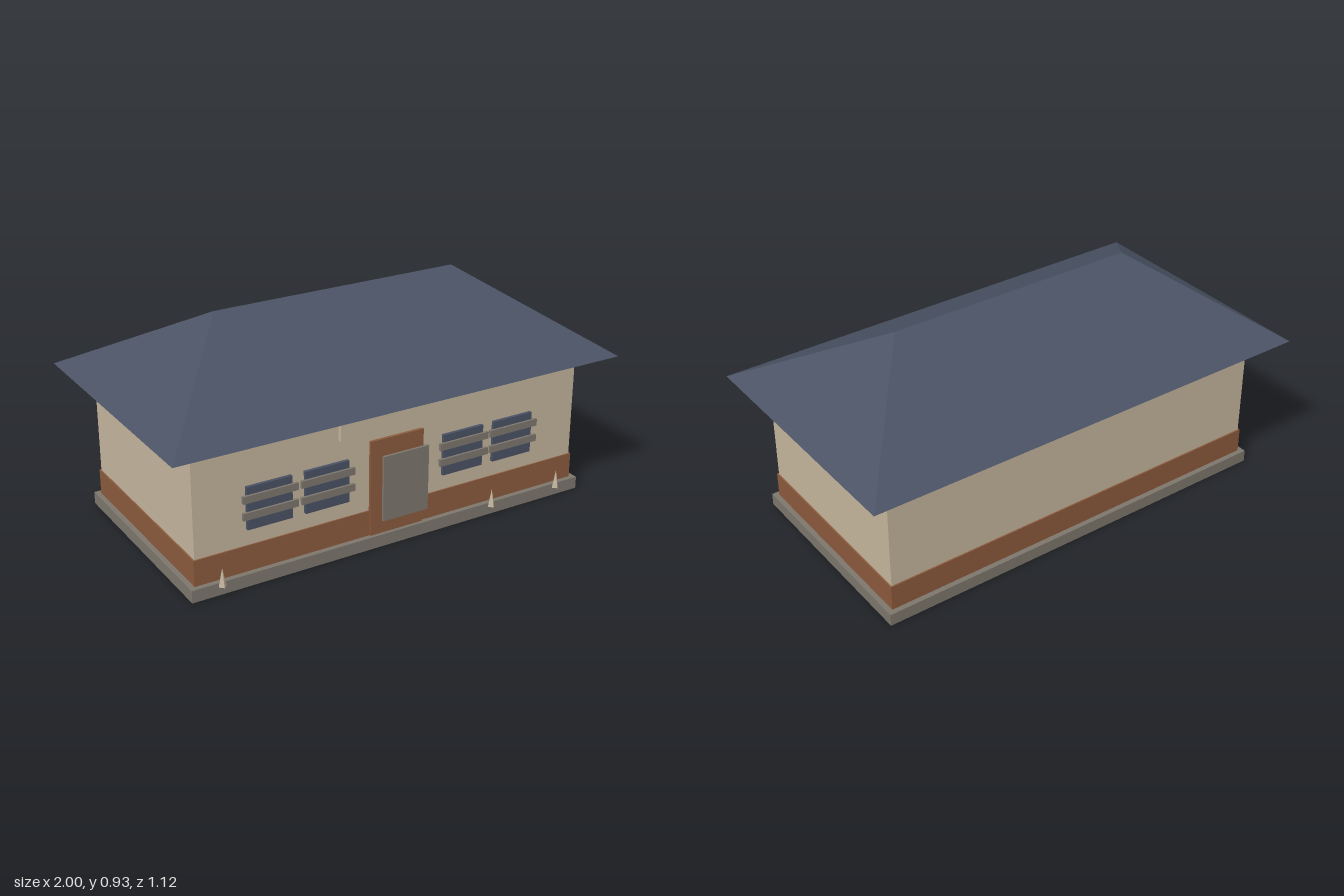
import * as THREE from 'three';

const paint = (name, color) => {
  const m = new THREE.MeshStandardMaterial({ color });
  m.name = name;
  return m;
};

export function createModel() {
  const house = new THREE.Group();
  house.name = 'house';

  const plaster = paint('beige plaster', 0xc4b59d);
  const brick = paint('brown brick', 0x8b5a3c);
  const stone = paint('warm grey', 0x7c766c);
  const slate = paint('slate blue', 0x4a5264);

  const add = (name, geometry, material, parent = house) => {
    const mesh = new THREE.Mesh(geometry, material);
    mesh.name = name;
    parent.add(mesh);
    return mesh;
  };

  // Box given by its limits on each axis
  const box = (name, [x0, x1], [y0, y1], [z0, z1], material, parent) => {
    const mesh = add(name, new THREE.BoxGeometry(x1 - x0, y1 - y0, z1 - z0), material, parent);
    mesh.position.set((x0 + x1) / 2, (y0 + y1) / 2, (z0 + z1) / 2);
    return mesh;
  };

  // Main body
  box('plinth', [-0.905, 0.905], [0, 0.052], [-0.465, 0.465], stone);
  box('brickBase', [-0.883, 0.883], [0.052, 0.16], [-0.443, 0.443], brick);
  box('walls', [-0.877, 0.877], [0.16, 0.617], [-0.437, 0.437], plaster);

  // Hipped roof: four eave corners, then the two ridge ends
  const eave = 0.617, ridge = 0.93;
  const corners = [
    [-1, eave, 0.56], [1, eave, 0.56], [1, eave, -0.56], [-1, eave, -0.56],
    [-0.55, ridge, 0], [0.55, ridge, 0],
  ];
  const faces = [
    0, 1, 5, 0, 5, 4, // front slope
    2, 3, 4, 2, 4, 5, // back slope
    1, 2, 5, 3, 0, 4, // hips
    0, 3, 2, 0, 2, 1, // soffit
  ];
  const roof = new THREE.BufferGeometry();
  roof.setAttribute('position', new THREE.Float32BufferAttribute(faces.flatMap((i) => corners[i]), 3));
  roof.computeVertexNormals();
  add('roof', roof, slate);

  // Entrance, with the door leaf hanging off centre
  box('doorFrame', [-0.123, 0.12], [0.052, 0.458], [0.43, 0.45], brick);
  box('doorLeaf', [-0.07, 0.14], [0.106, 0.386], [0.447, 0.461], stone);
  box('blankSign', [-0.262, 0.257], [0.494, 0.581], [0.437, 0.456], plaster);

  // Boarded windows
  for (const x of [-0.565, -0.317, 0.313, 0.558]) {
    const win = new THREE.Group();
    win.name = 'boardedWindow';
    win.position.x = x;
    house.add(win);
    box('pane', [-0.096, 0.096], [0.229, 0.406], [0.437, 0.451], slate, win);
    for (const y of [0.291, 0.36]) {
      box('board', [-0.117, 0.117], [y - 0.015, y + 0.015], [0.449, 0.461], stone, win);
    }
  }

  // Small pointed tufts along the front
  for (const x of [-0.792, 0.435, 0.768]) {
    const tuft = add('tuft', new THREE.ConeGeometry(0.0165, 0.078, 4).toNonIndexed(), plaster);
    tuft.geometry.computeVertexNormals();
    tuft.position.set(x, 0.091, 0.492);
  }

  return house;
}
